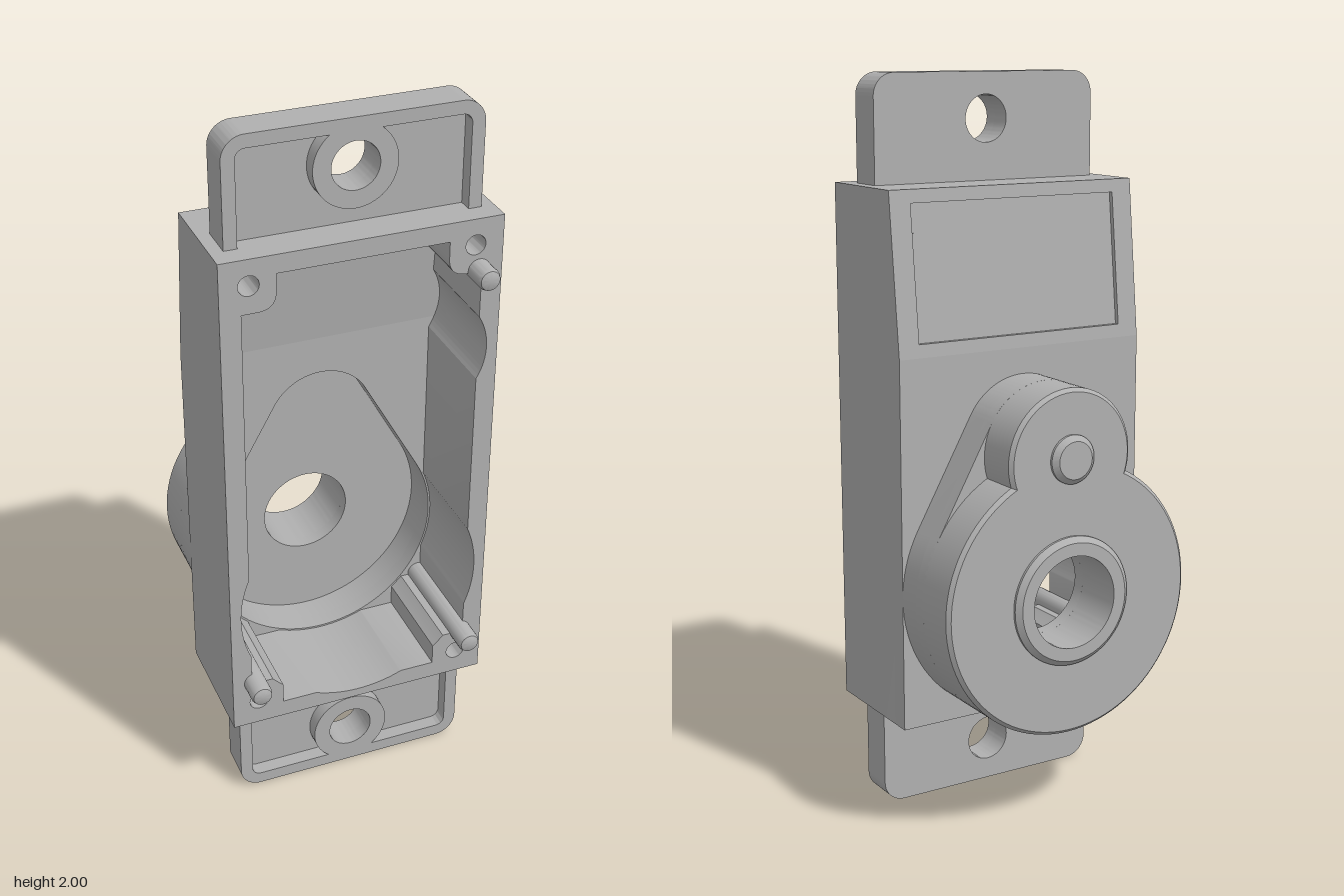
import * as THREE from 'three';
import { toCreasedNormals } from 'three/addons/utils/BufferGeometryUtils.js';

const grey = new THREE.MeshStandardMaterial({ color: 0xb0b0b0 });
grey.name = 'grey plastic';

const HUB_Y = 0.655, LOBE_Y = 1.035;      // centres of the gear housing circles
const BEND_Y = 1.29, SLOPE = 0.045 / 0.425; // where the back starts to lean forward

// Extrude a shape between two z planes, optionally moving vertices by a rule
function slab(shape, z0, z1, rule) {
  const g = new THREE.ExtrudeGeometry(shape, { depth: z1 - z0, bevelEnabled: false, curveSegments: 32 });
  g.translate(0, 0, z0);
  if (rule) {
    const p = g.attributes.position;
    for (let i = 0; i < p.count; i++) p.setZ(i, rule(p.getY(i), p.getZ(i)));
  }
  return toCreasedNormals(g, 0.5);
}

// Turn a profile of (radius, height) points around an axis that runs towards -z
function turned(profile, x, y, segments = 64) {
  const g = new THREE.LatheGeometry(profile.map(([r, h]) => new THREE.Vector2(r, h)), segments);
  g.rotateX(-Math.PI / 2).translate(x, y, 0);
  return toCreasedNormals(g, 0.5);
}

function rect(x0, y0, x1, y1, Type = THREE.Shape) {
  return new Type([[x0, y0], [x1, y0], [x1, y1], [x0, y1]].map(([x, y]) => new THREE.Vector2(x, y)));
}

function circle(x, y, r) {
  const p = new THREE.Path();
  p.absarc(x, y, r, 0, Math.PI * 2, false);
  return p;
}

// Outline around the big and small circle with straight tangents
function teardrop(R, r, Type) {
  const a = Math.asin((R - r) / (LOBE_Y - HUB_Y));
  const s = new Type();
  s.absarc(0, HUB_Y, R, Math.PI - a, Math.PI * 2 + a, false);
  s.absarc(0, LOBE_Y, r, a, Math.PI - a, false);
  s.closePath();
  return s;
}

// Inner outline of the shell: corner pads, hub clearance and a side scallop
function cavity() {
  const p = new THREE.Path(), R = 0.34;
  const hubArc = (x0, y0, x1, y1) => {
    const a = Math.atan2(y0 - HUB_Y, x0);
    let b = Math.atan2(y1 - HUB_Y, x1);
    if (b < a) b += Math.PI * 2;
    p.absarc(0, HUB_Y, R, a, b, false);
  };
  p.moveTo(-0.128, 0.34);
  hubArc(-0.128, 0.34, 0.128, 0.34);
  p.lineTo(0.225, 0.34);
  hubArc(0.225, 0.4, 0.255, 0.43);
  p.lineTo(0.315, 0.43);
  hubArc(0.315, 0.527, 0.315, 0.783);
  p.absarc(0.165, 1.35, 0.175, -0.541, 0.541, false);
  p.lineTo(0.315, 1.57);
  p.lineTo(0.275, 1.57);
  p.quadraticCurveTo(0.225, 1.57, 0.225, 1.62);
  p.lineTo(0.225, 1.665);
  p.lineTo(-0.225, 1.665);
  p.lineTo(-0.225, 1.62);
  p.quadraticCurveTo(-0.225, 1.57, -0.275, 1.57);
  p.lineTo(-0.315, 1.57);
  p.lineTo(-0.315, BEND_Y);
  hubArc(-0.315, 0.783, -0.315, 0.527);
  p.lineTo(-0.315, 0.43);
  hubArc(-0.255, 0.43, -0.225, 0.4);
  p.lineTo(-0.225, 0.34);
  p.closePath();
  return p;
}

export function createModel() {
  const model = new THREE.Group();
  const add = (name, geometry, parent = model) => {
    const m = new THREE.Mesh(geometry, grey);
    m.name = name;
    parent.add(m);
    return m;
  };
  const lean = (y, z) => z + Math.max(0, y - BEND_Y) * SLOPE;

  // Open-fronted shell walls with corner screw holes
  const walls = new THREE.Shape([[-0.37, 0.29], [0.37, 0.29], [0.37, BEND_Y], [0.37, 1.715], [-0.37, 1.715], [-0.37, BEND_Y]]
    .map(([x, y]) => new THREE.Vector2(x, y)));
  walls.holes.push(cavity());
  for (const x of [-0.295, 0.295]) for (const y of [0.365, 1.645]) walls.holes.push(circle(x, y, 0.027));
  add('shellWalls', slab(walls, -0.03, 0.265, (y, z) => (z < 0 ? lean(y, z) : z)));

  // Back plate: flat lower part opening into the gear housing
  const lower = rect(-0.37, 0.29, 0.37, BEND_Y);
  lower.holes.push(teardrop(0.335, 0.15, THREE.Path));
  add('backPlate', slab(lower, -0.08, -0.03));

  // Back plate: leaning upper part with a framed, sunken panel
  add('slopedPanel', slab(rect(-0.37, BEND_Y, 0.37, 1.715), -0.067, -0.03, lean));
  const frame = rect(-0.37, BEND_Y, 0.37, 1.715);
  frame.holes.push(rect(-0.31, 1.325, 0.31, 1.68, THREE.Path));
  add('panelFrame', slab(frame, -0.08, -0.067, lean));

  // Gear housing: teardrop skirt and floor
  const skirt = teardrop(0.37, 0.185, THREE.Shape);
  skirt.holes.push(teardrop(0.335, 0.15, THREE.Path));
  add('housingSkirt', slab(skirt, -0.15, -0.075));
  const floor = teardrop(0.37, 0.185, THREE.Shape);
  floor.holes.push(circle(0, HUB_Y, 0.125));
  add('housingFloor', slab(floor, -0.188, -0.15));

  // Gear housing: round hub with raised collar, and small lobe with a button
  add('hub', turned([[0.125, 0.18], [0.37, 0.18], [0.37, 0.305], [0.36, 0.315], [0.175, 0.315],
    [0.175, 0.322], [0.16, 0.335], [0.125, 0.335], [0.125, 0.18]], 0, HUB_Y, 96));
  // The lobe stops at the hub bore, so it is a simple closed disc
  add('lobe', turned([[0, 0.18], [0.185, 0.18], [0.185, 0.305], [0.175, 0.315], [0.065, 0.315],
    [0.065, 0.322], [0.05, 0.335], [0, 0.335]], 0, LOBE_Y));

  // Locating pins standing in the shell
  for (const [x, y] of [[0.307, 1.575], [0.307, 0.435], [-0.307, 0.435]]) {
    add('locatingPin', turned([[0, -0.335], [0.018, -0.335], [0.026, -0.331], [0.03, -0.321], [0.03, 0.04]], x, y, 24));
  }

  // Mounting tabs, drawn for the top and turned over for the bottom
  for (const top of [true, false]) {
    const tab = new THREE.Group();
    tab.name = top ? 'upperMountingTab' : 'lowerMountingTab';
    const outline = (hw, end, r) => {
      const s = new THREE.Shape();
      s.moveTo(-hw, 0.7);
      s.lineTo(hw, 0.7);
      s.absarc(hw - r, end - r, r, 0, Math.PI / 2, false);
      s.absarc(-hw + r, end - r, r, Math.PI / 2, Math.PI, false);
      s.closePath();
      return s;
    };
    const plate = outline(0.335, 1, 0.06);
    plate.holes.push(circle(0, 0.878, 0.063));
    add('tabPlate', slab(plate, 0.105, 0.165), tab);

    // Raised rim open towards the shell
    const rim = new THREE.Shape();
    rim.moveTo(0.3, 0.7);
    rim.lineTo(0.335, 0.7);
    rim.absarc(0.275, 0.94, 0.06, 0, Math.PI / 2, false);
    rim.absarc(-0.275, 0.94, 0.06, Math.PI / 2, Math.PI, false);
    rim.lineTo(-0.335, 0.7);
    rim.lineTo(-0.3, 0.7);
    rim.absarc(-0.275, 0.94, 0.025, Math.PI, Math.PI / 2, true);
    rim.absarc(0.275, 0.94, 0.025, Math.PI / 2, 0, true);
    rim.closePath();
    add('tabRim', slab(rim, 0.165, 0.205), tab);

    // Collar around the screw hole
    const collar = new THREE.Shape();
    collar.absarc(0, 0.878, 0.11, 0, Math.PI * 2, false);
    collar.holes.push(circle(0, 0.878, 0.063));
    add('tabCollar', slab(collar, 0.165, 0.205), tab);

    // Half turn about the depth axis gives the lower tab
    tab.position.y = 1;
    if (!top) tab.rotation.z = Math.PI;
    model.add(tab);
  }

  return model;
}
